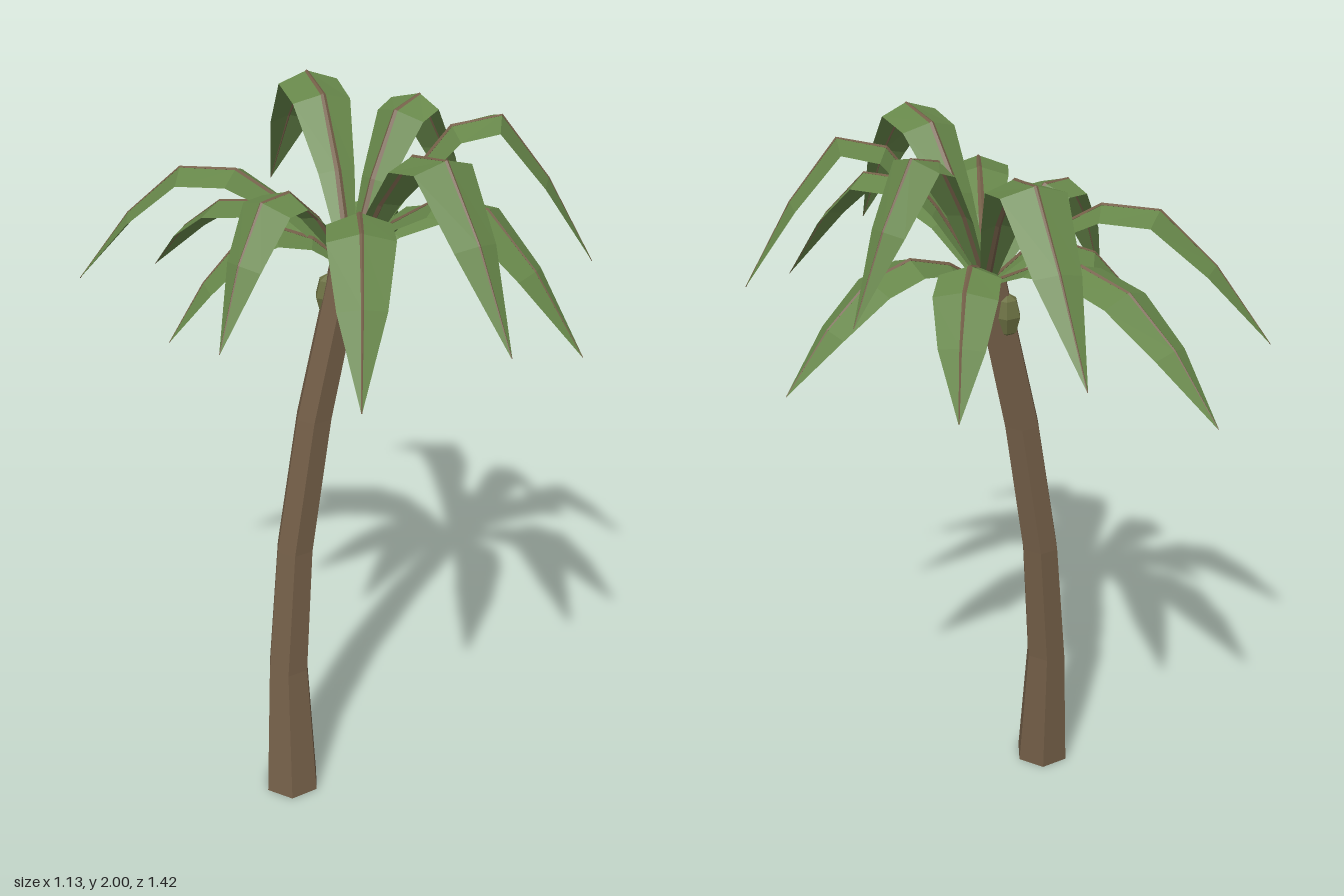
import * as THREE from 'three';

const mat = (name, color, extra = {}) => {
  const m = new THREE.MeshStandardMaterial({ color, flatShading: true, ...extra });
  m.name = name;
  return m;
};

// Joins equal-length cross-sections into a skin; closed wraps each section round.
function loft(sections, closed) {
  const n = sections[0].length, index = [];
  for (let i = 0; i < sections.length - 1; i++) {
    for (let j = 0; j < (closed ? n : n - 1); j++) {
      const a = i * n + j, b = i * n + (j + 1) % n;
      index.push(a, b, a + n, b, b + n, a + n);
    }
  }
  const geo = new THREE.BufferGeometry().setFromPoints(sections.flat());
  geo.setIndex(index);
  geo.computeVertexNormals();
  return geo;
}

const CROWN = new THREE.Vector3(-0.03, 0, 0.02);
const HALF_WIDTH = [0.018, 0.05, 0.08, 0.083, 0.06, 0.001];

// Rib heights at equal steps from root to tip, and [tipX, tipZ, sideways bow].
const TIERS = [
  { name: 'upperFrond', heights: [1.6, 1.81, 1.97, 1.995, 1.83, 1.6],
    tips: [[0.145, -0.71, 0.026], [0.42, -0.09, -0.02], [0.525, 0.325, 0], [-0.02, 0.705, 0]] },
  { name: 'middleFrond', heights: [1.6, 1.75, 1.84, 1.835, 1.70, 1.5],
    tips: [[0.265, 0.62, 0.015], [-0.355, 0.59, -0.012], [-0.48, 0.135, 0.035], [-0.565, -0.51, 0]] },
  { name: 'lowerFrond', heights: [1.6, 1.68, 1.715, 1.68, 1.57, 1.41],
    tips: [[-0.25, -0.705, -0.023], [0.275, -0.355, 0.015], [0.565, 0.015, -0.015], [-0.465, -0.18, 0.01]] },
];

function makeFrond(name, heights, [tipX, tipZ, bow], leafMat, ribMat) {
  const reach = new THREE.Vector3(tipX - CROWN.x, 0, tipZ - CROWN.z);
  const out = reach.clone().normalize();
  const side = new THREE.Vector3(-out.z, 0, out.x);
  const points = heights.map((y, i) => {
    const t = i / 5;
    return CROWN.clone().addScaledVector(reach, t)
      .addScaledVector(side, bow * 4 * t * (1 - t)).setY(y);
  });
  const leaf = [], rib = [];
  points.forEach((p, i) => {
    const tangent = points[Math.min(i + 1, 5)].clone().sub(points[Math.max(i - 1, 0)]).normalize();
    const up = new THREE.Vector3().crossVectors(side, tangent).normalize();
    if (up.y < 0) up.negate();
    const at = (s, u) => p.clone().addScaledVector(side, s).addScaledVector(up, u);
    const w = HALF_WIDTH[i], r = 0.011 - 0.0019 * i;
    leaf.push([at(-w, -w * 0.35), at(0, 0), at(w, -w * 0.35)]);
    rib.push([at(-r, -r * 0.25), at(0, -r), at(r, -r * 0.25), at(0, r * 0.4)]);
  });
  const frond = new THREE.Group();
  frond.name = name;
  const blade = new THREE.Mesh(loft(leaf, false), leafMat);
  blade.name = 'leafBlade';
  const stem = new THREE.Mesh(loft(rib, true), ribMat);
  stem.name = 'leafRib';
  frond.add(blade, stem);
  return frond;
}

// Six-sided hollow trunk: each ring is [x, y, z, radius].
function makeTrunk(material) {
  const rings = [
    [-0.041, 1.61, 0.02, 0.049], [-0.13, 1.18, -0.006, 0.053], [-0.192, 0.78, -0.016, 0.056],
    [-0.23, 0.4, -0.002, 0.062], [-0.244, 0, 0.03, 0.083],
  ];
  const geo = new THREE.CylinderGeometry(1, 1, 4, 6, 4, true, Math.PI / 2);
  const pos = geo.attributes.position;
  for (let i = 0; i < pos.count; i++) {
    const [x, y, z, r] = rings[Math.round(2 - pos.getY(i))];
    pos.setXYZ(i, x + pos.getX(i) * r, y, z + pos.getZ(i) * r);
  }
  geo.computeVertexNormals();
  const trunk = new THREE.Mesh(geo, material);
  trunk.name = 'trunk';
  return trunk;
}

export function createModel() {
  const bark = mat('bark brown', 0x745f48, { side: THREE.DoubleSide });
  const leafGreen = mat('leaf green', 0x67874a, { side: THREE.DoubleSide });
  const nutOlive = mat('nut olive', 0x6b7042);

  const palm = new THREE.Group();
  palm.name = 'palmTree';
  palm.add(makeTrunk(bark));

  // Crown: three tiers of four fronds
  for (const { name, heights, tips } of TIERS) {
    tips.forEach((tip, i) => palm.add(makeFrond(name + (i + 1), heights, tip, leafGreen, bark)));
  }

  // Nuts hanging below the crown
  [[0.01, 1.515, 0.022], [-0.072, 1.515, -0.016]].forEach(([x, y, z], i) => {
    const nut = new THREE.Mesh(new THREE.SphereGeometry(0.041, 6, 4), nutOlive);
    nut.name = 'coconut' + (i + 1);
    nut.scale.y = 1.55;
    nut.position.set(x, y, z);
    palm.add(nut);
  });
  return palm;
}
